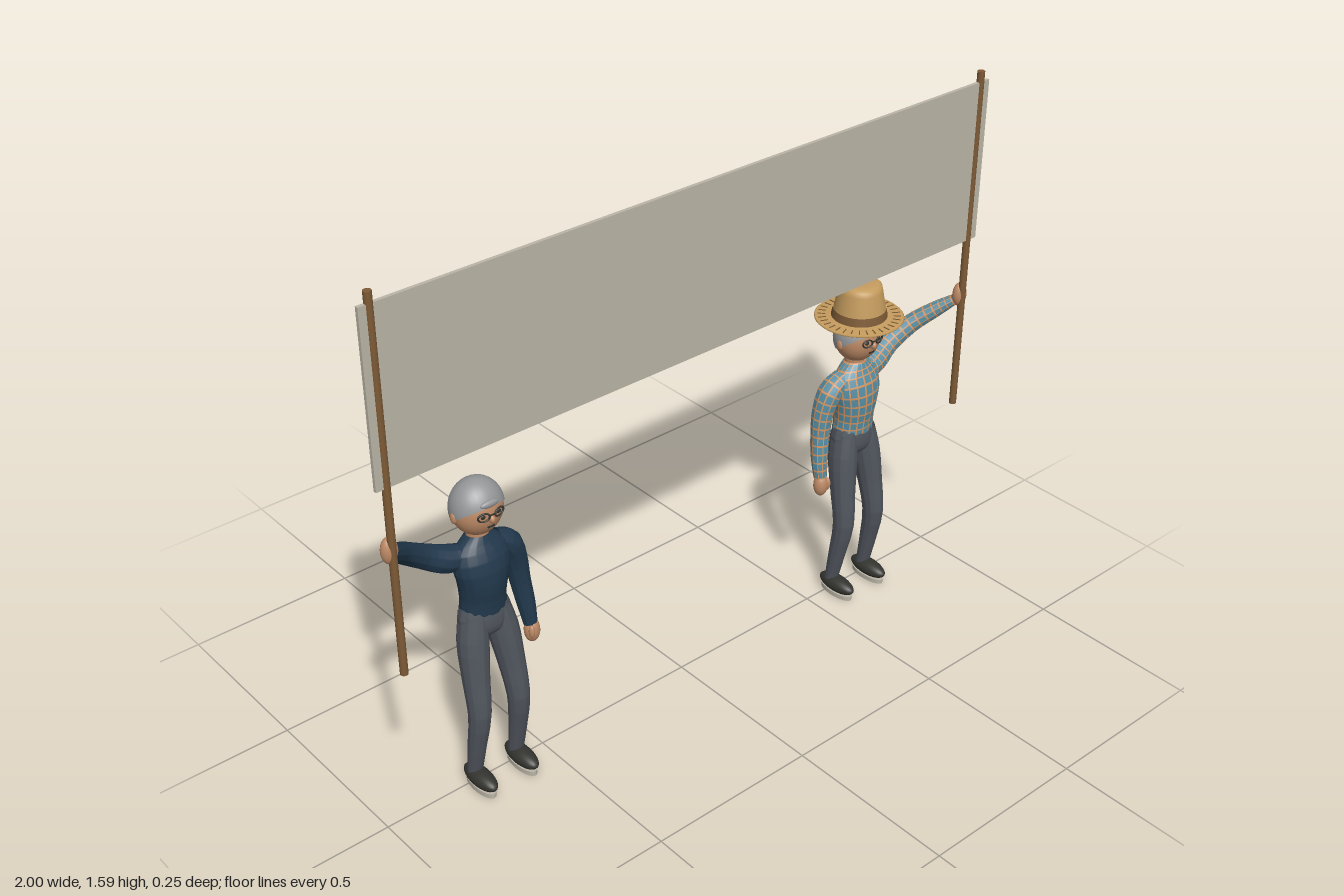
import * as THREE from 'three';

const mat = (name, color, side = THREE.FrontSide) => {
  const m = new THREE.MeshStandardMaterial({ color, side });
  m.name = name;
  return m;
};
const M = {
  cloth: mat('banner cloth', 0xbab5a6),
  wood: mat('brown wood', 0x7d5a36),
  navy: mat('navy knit', 0x22394d, THREE.DoubleSide),
  trousers: mat('grey trousers', 0x50555d, THREE.DoubleSide),
  dark: mat('dark leather', 0x33332f),
  hair: mat('grey hair', 0x949698, THREE.DoubleSide),
  skin: mat('skin', 0xbd8a66),
  straw: mat('straw', 0xc59c5e),
  blue: mat('shirt blue', 0x548ca3, THREE.DoubleSide),
  orange: mat('shirt orange', 0xcf9462, THREE.DoubleSide),
};

function add(parent, name, geo, material, x = 0, y = 0, z = 0) {
  const m = new THREE.Mesh(geo, material);
  m.name = name;
  m.position.set(x, y, z);
  parent.add(m);
  return m;
}
const ball = (rx, ry, rz) => new THREE.SphereGeometry(1, 28, 18).scale(rx, ry, rz);

// Smooth loft through sections [x, y, z, rx, rz]; narrow rows and columns form
// a second material group, which makes a checked pattern.
function loft(sections, rows, cols, s = 1) {
  const path = new THREE.CatmullRomCurve3(
    sections.map(p => new THREE.Vector3(p[0] * s, p[1], p[2])), false, 'catmullrom');
  const radii = new THREE.CatmullRomCurve3(
    sections.map(p => new THREE.Vector3(p[3], p[4] ?? p[3], 0)), false, 'catmullrom');
  const step = (i, n) => (Math.floor(i / 2) + (i % 2) * 0.8) / n;
  const R = rows * 2, C = cols * 2, pos = [], plain = [], stripe = [];
  const Z = new THREE.Vector3(0, 0, 1);
  for (let i = 0; i <= R; i++) {
    const t = step(i, rows), c = path.getPoint(t), r = radii.getPoint(t);
    const T = path.getTangent(t);
    const U = T.clone().cross(Z).normalize(), V = U.clone().cross(T);
    for (let j = 0; j < C; j++) {
      const a = step(j, cols) * Math.PI * 2;
      const p = c.clone().addScaledVector(U, r.x * Math.cos(a)).addScaledVector(V, r.y * Math.sin(a));
      pos.push(p.x, p.y, p.z);
      if (i === R) continue;
      const k = (j + 1) % C, A = i * C + j, B = i * C + k;
      (i % 2 || j % 2 ? stripe : plain).push(A, A + C, B, B, A + C, B + C);
    }
  }
  const g = new THREE.BufferGeometry();
  g.setAttribute('position', new THREE.Float32BufferAttribute(pos, 3));
  g.setIndex([...plain, ...stripe]);
  g.addGroup(0, plain.length, 0);
  g.addGroup(plain.length, stripe.length, 1);
  g.computeVertexNormals();
  return g;
}

function makeHead() {
  const head = new THREE.Group();
  head.name = 'head';
  head.position.set(0, 0.85, -0.003);
  add(head, 'face', ball(0.069, 0.076, 0.064), M.skin);
  add(head, 'hair', new THREE.SphereGeometry(1, 32, 18, 0, Math.PI * 2, 0, 1.75)
    .rotateX(-0.53).scale(0.072, 0.079, 0.067), M.hair);
  add(head, 'forelock', ball(0.027, 0.01, 0.008), M.hair, 0, 0.034, 0.058);
  add(head, 'nose', ball(0.008, 0.011, 0.01), M.skin, 0, -0.008, 0.064);
  add(head, 'mouth', new THREE.BoxGeometry(0.02, 0.004, 0.006), M.dark, 0, -0.031, 0.058);
  add(head, 'glassesBridge', new THREE.BoxGeometry(0.02, 0.003, 0.003), M.dark, 0, 0.007, 0.068);
  for (const s of [-1, 1]) {
    add(head, 'glassesFrame', new THREE.TorusGeometry(0.014, 0.0025, 8, 20).scale(1.1, 0.8, 1),
      M.dark, s * 0.023, 0.005, 0.064).rotation.y = s * 0.25;
    add(head, 'eye', ball(0.007, 0.006, 0.003), M.dark, s * 0.023, 0.005, 0.061);
    add(head, 'ear', ball(0.007, 0.016, 0.011), M.skin, s * 0.069, -0.008, 0);
  }
  return head;
}

function makeHat() {
  const hat = new THREE.Group();
  hat.name = 'strawHat';
  const lathe = pts => new THREE.LatheGeometry(pts.map(p => new THREE.Vector2(...p)), 40);
  add(hat, 'brim', lathe([[0.06, 0], [0.1, -0.003], [0.124, -0.003], [0.127, 0],
    [0.124, 0.003], [0.1, 0.003], [0.06, 0.007]]), M.straw);
  add(hat, 'crown', lathe([[0.078, 0], [0.071, 0.04], [0.063, 0.085], [0.06, 0.098],
    [0.052, 0.105], [0.03, 0.107], [0, 0.106]]), M.straw);
  add(hat, 'band', new THREE.CylinderGeometry(0.0755, 0.0795, 0.024, 40, 1, true), M.wood, 0, 0.017, 0);
  // Dark stitches around the brim
  for (let i = 0; i < 32; i++) {
    const a = i / 32 * Math.PI * 2;
    add(hat, 'brimStitch', new THREE.BoxGeometry(0.022, 0.009, 0.003), M.wood,
      Math.cos(a) * 0.106, 0, Math.sin(a) * 0.106).rotation.y = -a;
  }
  hat.position.set(0, 0.912, 0);
  return hat;
}

// One bearer; s is the side of the raised arm
function makeBearer(name, s, shirt) {
  const g = new THREE.Group();
  g.name = name;
  g.position.x = s * 0.66;
  g.add(makeHead());
  add(g, 'neck', new THREE.CylinderGeometry(0.027, 0.03, 0.07, 20), M.skin, 0, 0.775, -0.008);

  add(g, 'torso', loft([
    [0, 0.545, -0.003, 0.067, 0.051], [0, 0.59, -0.001, 0.064, 0.052],
    [0, 0.64, 0.003, 0.07, 0.055], [0, 0.69, 0.003, 0.08, 0.052],
    [0, 0.735, -0.005, 0.07, 0.042], [0, 0.77, -0.008, 0.031, 0.031]], 9, 18), shirt);
  add(g, 'raisedSleeve', loft([
    [0.03, 0.715, -0.01, 0.03], [0.09, 0.722, -0.02, 0.037], [0.155, 0.758, -0.025, 0.032],
    [0.22, 0.81, 0, 0.028], [0.27, 0.857, 0.045, 0.023], [0.303, 0.892, 0.083, 0.016]], 15, 10, s), shirt);
  add(g, 'loweredSleeve', loft([
    [0.045, 0.725, -0.008, 0.03], [0.09, 0.695, -0.01, 0.036], [0.113, 0.635, -0.014, 0.032],
    [0.123, 0.565, -0.012, 0.028], [0.131, 0.495, -0.003, 0.025], [0.135, 0.43, 0.008, 0.019]], 13, 10, -s), shirt);
  add(g, 'raisedHand', ball(0.022, 0.037, 0.019), M.skin, s * 0.312, 0.912, 0.095);
  add(g, 'loweredHand', ball(0.022, 0.036, 0.021), M.skin, -s * 0.136, 0.409, 0.012);
  add(g, 'loweredThumb', ball(0.008, 0.02, 0.009), M.skin, -s * 0.124, 0.415, 0.028);

  add(g, 'hips', loft([
    [0, 0.462, 0.004, 0.015, 0.015], [0, 0.49, 0.003, 0.06, 0.043],
    [0, 0.525, 0, 0.076, 0.05], [0, 0.57, -0.002, 0.063, 0.047]], 8, 14), M.trousers);
  for (const k of [-1, 1]) {
    add(g, 'leg', loft([
      [0.067, 0.045, 0.008, 0.022, 0.019], [0.066, 0.14, 0.025, 0.026, 0.025],
      [0.062, 0.25, 0.041, 0.03, 0.032], [0.056, 0.36, 0.026, 0.036, 0.038],
      [0.047, 0.46, 0.01, 0.041, 0.045], [0.036, 0.54, 0, 0.034, 0.044]], 12, 12, k), M.trousers);
    add(g, 'shoe', ball(0.028, 0.024, 0.067), M.dark, k * 0.067, 0.033, 0.032);
    add(g, 'sole', new THREE.CylinderGeometry(1, 1, 0.014, 28).scale(0.023, 1, 0.06),
      M.cloth, k * 0.067, 0.007, 0.032);
  }
  return g;
}

export function createModel() {
  const model = new THREE.Group();
  model.name = 'bannerBearers';
  add(model, 'banner', new THREE.BoxGeometry(2, 0.47, 0.01), M.cloth, 0, 1.325, 0.106);
  for (const s of [-1, 1])
    add(model, 'pole', new THREE.CylinderGeometry(0.0105, 0.0105, 1.035, 16), M.wood, s * 0.97, 1.0725, 0.106);
  model.add(makeBearer('sweaterBearer', -1, M.navy));
  const farmer = makeBearer('checkedShirtBearer', 1, [M.blue, M.orange]);
  farmer.add(makeHat());
  model.add(farmer);
  return model;
}
